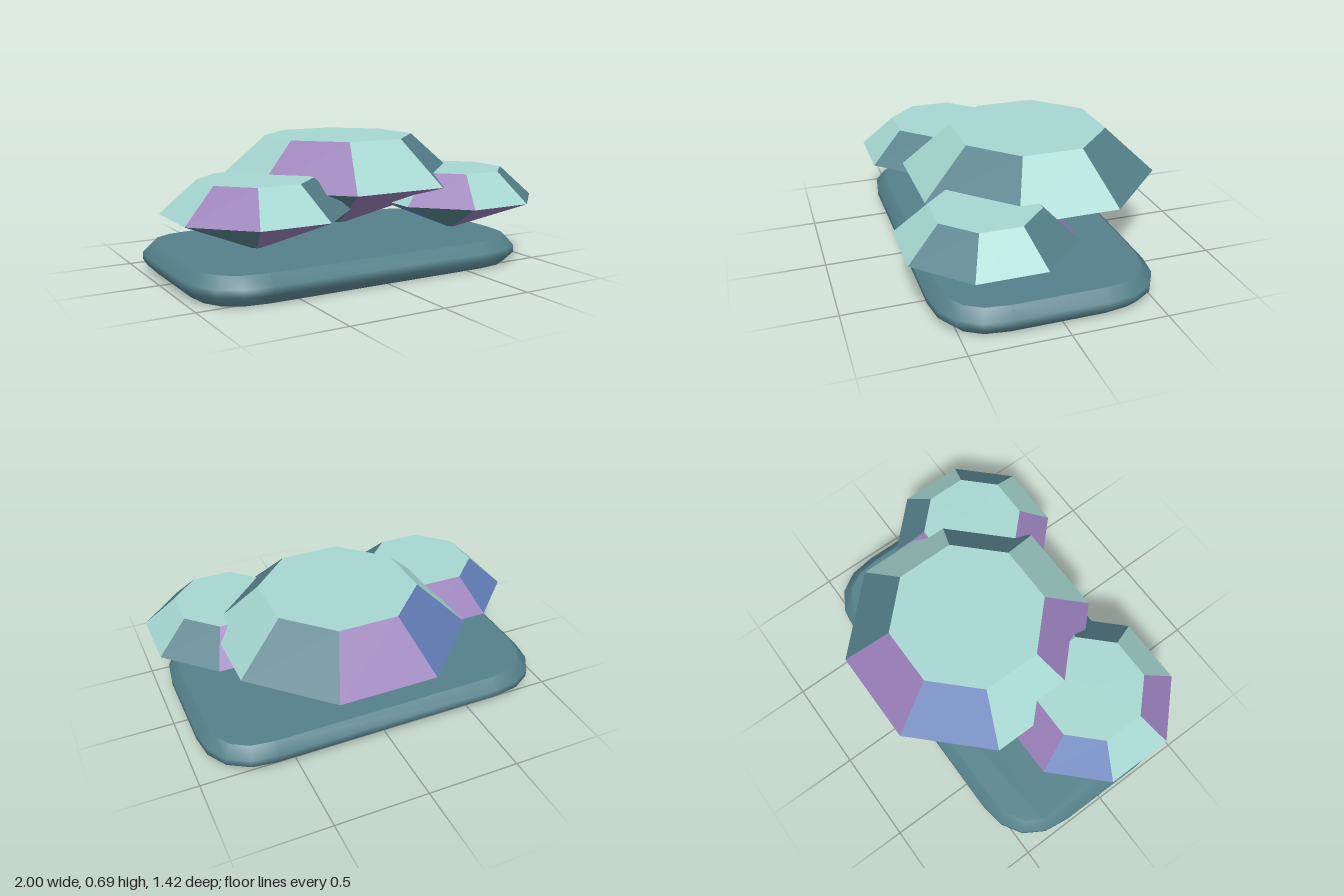
import * as THREE from 'three';
import { mergeVertices } from 'three/addons/utils/BufferGeometryUtils.js';

function material(name, color) {
  const m = new THREE.MeshStandardMaterial({ color });
  m.name = name;
  return m;
}

const aqua = material('paleAqua', 0xa6d6d0);
const teal = material('slateTeal', 0x55808a);
const purple = material('lilac', 0x957bb5);
const blue = material('cornflower', 0x617db5);

// Facet colours, going round from the front towards the left
const CROWN = [aqua, teal, aqua, teal, purple, blue, aqua, purple];
const PAVILION = [purple, blue, purple, blue, aqua, purple, blue, teal];

function mesh(name, geometry, mat, y = 0) {
  const m = new THREE.Mesh(geometry, mat);
  m.name = name;
  m.position.y = y;
  return m;
}

// Eight flat sloping facets, one material each
function facetRing(name, rTop, rBottom, height, mats, y) {
  const ring = new THREE.CylinderGeometry(rTop, rBottom, height, 8, 1, true, -Math.PI / 8);
  ring.clearGroups();
  for (let i = 0; i < 8; i++) ring.addGroup(i * 6, 6, i);
  const flat = ring.toNonIndexed();
  flat.computeVertexNormals();
  return mesh(name, flat, mats, y);
}

function octagon(name, radius, y, mat, up) {
  const g = new THREE.CircleGeometry(radius, 8, Math.PI / 8);
  g.rotateX(up ? -Math.PI / 2 : Math.PI / 2);
  return mesh(name, g, mat, y);
}

// Cut gem with its origin at the girdle
function gem(name, r, x, y, z) {
  const g = new THREE.Group();
  g.name = name;
  const crown = r * 0.35, pavilion = r * 0.38, table = r * 0.61, tip = r * 0.064;
  g.add(
    facetRing('crown', table, r, crown, CROWN, crown / 2),
    facetRing('pavilion', r, tip, pavilion, PAVILION, -pavilion / 2),
    octagon('table', table, crown, aqua, true),
    octagon('culet', tip, -pavilion, purple, false)
  );
  g.position.set(x, y, z);
  return g;
}

// Rounded slab: flat lids, smoothly shaded bevelled rim
function base() {
  const w = 0.908, d = 0.52, r = 0.28, bevel = 0.053;
  const s = new THREE.Shape();
  s.moveTo(-w + r, -d);
  s.lineTo(w - r, -d);
  s.quadraticCurveTo(w, -d, w, -d + r);
  s.lineTo(w, d - r);
  s.quadraticCurveTo(w, d, w - r, d);
  s.lineTo(-w + r, d);
  s.quadraticCurveTo(-w, d, -w, d - r);
  s.lineTo(-w, -d + r);
  s.quadraticCurveTo(-w, -d, -w + r, -d);
  const slab = new THREE.ExtrudeGeometry(s, {
    depth: 0.145 - 2 * bevel, curveSegments: 4,
    bevelEnabled: true, bevelSize: bevel, bevelThickness: bevel, bevelSegments: 1
  });
  slab.rotateX(-Math.PI / 2);
  slab.translate(0, bevel, 0);

  const group = new THREE.Group();
  group.name = 'base';
  ['baseLids', 'baseRim'].forEach((name, i) => {
    const { start, count } = slab.groups[i];
    const part = new THREE.BufferGeometry();
    const points = slab.attributes.position.array.slice(start * 3, (start + count) * 3);
    part.setAttribute('position', new THREE.BufferAttribute(points, 3));
    const welded = mergeVertices(part, 1e-4);
    welded.computeVertexNormals();
    group.add(mesh(name, welded, teal));
  });
  group.position.set(-0.027, 0, 0.02);
  return group;
}

export function createModel() {
  const model = new THREE.Group();
  model.name = 'gemCluster';
  model.add(
    base(),
    gem('largeGem', 0.672, 0.087, 0.455, -0.097),
    gem('rightGem', 0.471, -0.565, 0.368, 0.211),
    gem('leftGem', 0.448, 0.583, 0.361, 0.289)
  );
  return model;
}
